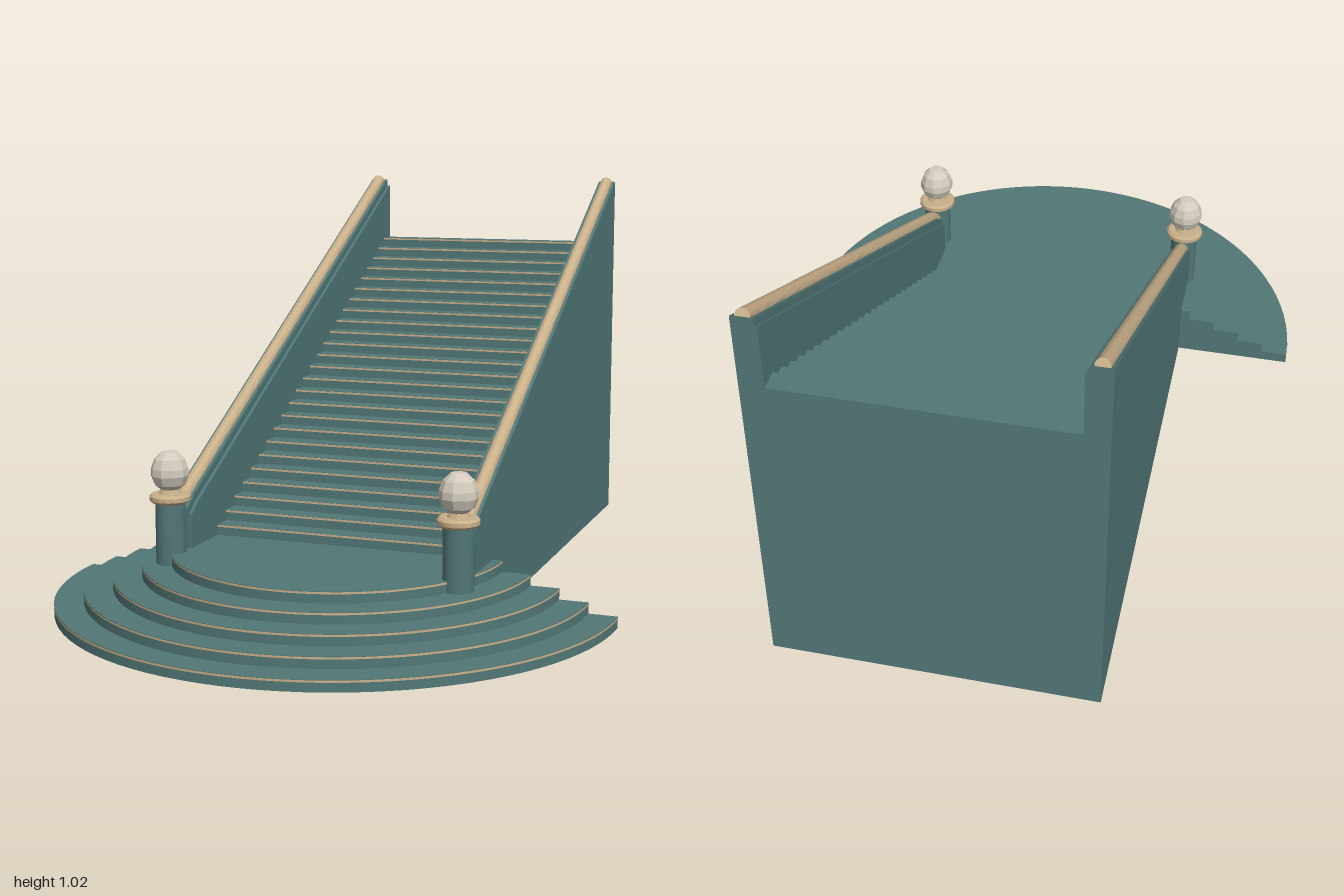
import * as THREE from 'three';
import { toCreasedNormals } from 'three/addons/utils/BufferGeometryUtils.js';

const RISE = 0.0275, DEPTH = 0.0518, COUNT = 25, LANDING = 5;
const START_Z = 0.295, BACK_Z = -1, INNER = 0.345, OUTER = 0.395, RAIL_X = 0.37;

export function createModel() {
  const model = new THREE.Group();
  model.name = 'staircase';

  const paint = (name, color) => {
    const m = new THREE.MeshStandardMaterial({ color, side: THREE.DoubleSide });
    m.name = name;
    return m;
  };
  const teal = paint('teal stone', 0x527877);
  const gold = paint('warm gold', 0xc9b08a);
  const cream = paint('cream', 0xd3ccbd);

  const add = (name, geometry, material, x = 0, y = 0, z = 0, parent = model) => {
    const mesh = new THREE.Mesh(geometry, material);
    mesh.name = name;
    mesh.position.set(x, y, z);
    parent.add(mesh);
    return mesh;
  };

  // Side profile given as [z, y] points, extruded from x0 to x1
  const sidePlate = (points, x0, x1) => {
    const shape = new THREE.Shape(points.map(([z, y]) => new THREE.Vector2(-z, y)));
    const g = new THREE.ExtrudeGeometry(shape, { depth: x1 - x0, bevelEnabled: false });
    return g.rotateY(Math.PI / 2).translate(x0, 0, 0);
  };

  // Half disc with its flat side at the back and its top at y = 0
  const halfDisc = (r, h) => {
    const shape = new THREE.Shape().absarc(0, 0, r, 0, Math.PI, false);
    const g = new THREE.ExtrudeGeometry(shape, { depth: h, bevelEnabled: false, curveSegments: 48 });
    return toCreasedNormals(g.rotateX(Math.PI / 2), 0.5);
  };
  const halfBand = (r, h) =>
    new THREE.CylinderGeometry(r, r, h, 48, 1, true, -Math.PI / 2, Math.PI);

  // Rounded landing steps; the lowest one is hollow underneath
  for (let i = 0; i < LANDING; i++) {
    const r = 0.704 - i * 0.0712, top = (i + 1) * RISE;
    add('landingStep', halfDisc(r, i ? RISE : 0.003), teal, 0, top, START_Z);
    add('landingTrim', halfBand(r + 0.001, 0.005), gold, 0, top - 0.0035, START_Z);
  }
  add('landingRim', halfBand(0.704, RISE), teal, 0, RISE / 2, START_Z);
  for (const s of [-1, 1]) {
    add('landingEnd', new THREE.BoxGeometry(0.309, RISE, 0.004), teal,
      s * 0.5495, RISE / 2, START_Z + 0.002);
  }

  // Straight flight: a thin zigzag shell with a trim line on each riser
  const base = LANDING * RISE, zigzag = [[START_Z, base]];
  for (let i = 0; i < COUNT; i++) {
    const z = START_Z - i * DEPTH, y = base + (i + 1) * RISE;
    zigzag.push([z, y], [z - DEPTH, y]);
    add('stepTrim', new THREE.BoxGeometry(INNER * 2, 0.005, 0.002), gold, 0, y - 0.0035, z);
  }
  const under = zigzag.map(([z, y]) => [z - 0.005, y - 0.005]).reverse();
  under[0][0] = BACK_Z;
  add('flight', sidePlate([...zigzag, ...under], -INNER, INNER), teal);

  // Back panel
  const topY = base + COUNT * RISE;
  add('backPanel', new THREE.BoxGeometry(INNER * 2, topY - 0.001, 0.01), teal,
    0, (topY - 0.001) / 2, BACK_Z + 0.005);

  // Side walls, inner skirtings and handrails
  const slope = [[0.45, 0.238], [0.41, 0.268], [BACK_Z, 1.008]];
  const wall = [[0.45, 0], ...slope, [BACK_Z, 0]];
  const skirting = [[0.44, base], [0.44, 0.222], [0.41, 0.246], [BACK_Z, 0.988],
    [BACK_Z, topY], [START_Z, base]];
  const railEnd = [[0.47, 0.224], [0.41, 0.268], [-0.992, 1.006]];

  for (const s of [-1, 1]) {
    const side = new THREE.Group();
    side.name = s > 0 ? 'leftBalustrade' : 'rightBalustrade';
    model.add(side);
    const span = (a, b) => (s > 0 ? [a, b] : [-b, -a]);
    add('sideWall', sidePlate(wall, ...span(INNER, OUTER)), teal, 0, 0, 0, side);
    add('skirting', sidePlate(skirting, ...span(0.337, INNER)), teal, 0, 0, 0, side);

    const path = new THREE.CurvePath();
    const v = railEnd.map(([z, y]) => new THREE.Vector3(s * RAIL_X, y, z));
    path.add(new THREE.LineCurve3(v[0], v[1]));
    path.add(new THREE.LineCurve3(v[1], v[2]));
    const round = new THREE.Shape().absarc(0, 0, 0.017, 0, Math.PI * 2, false);
    const rail = new THREE.ExtrudeGeometry(round,
      { steps: 60, curveSegments: 12, bevelEnabled: false, extrudePath: path });
    add('handrail', toCreasedNormals(rail, 0.7), gold, 0, 0, 0, side);

    // Newel post with base, collar and faceted ball
    const post = new THREE.Group();
    post.name = 'newelPost';
    post.position.set(s * RAIL_X, 0, 0.49);
    side.add(post);
    const lathe = (pts, n) =>
      new THREE.LatheGeometry(pts.map(p => new THREE.Vector2(...p)), n);
    add('postBase', new THREE.CylinderGeometry(0.05, 0.05, 0.02, 16), gold, 0, 0.01, 0, post);
    add('postShaft', new THREE.CylinderGeometry(0.037, 0.037, 0.25, 16), teal, 0, 0.14, 0, post);
    add('postCollar', toCreasedNormals(lathe([[0, 0.262], [0.043, 0.262], [0.051, 0.269],
      [0.051, 0.279], [0.045, 0.285], [0, 0.285]], 16), 0.5), gold, 0, 0, 0, post);
    add('postNeck', new THREE.CylinderGeometry(0.022, 0.028, 0.014, 12), gold, 0, 0.291, 0, post);
    add('postBall', toCreasedNormals(lathe([[0, 0.292], [0.02, 0.293], [0.038, 0.307],
      [0.047, 0.33], [0.046, 0.348], [0.037, 0.371], [0.019, 0.388], [0, 0.39]], 10), 0.1),
      cream, 0, 0, 0, post);
  }

  return model;
}
